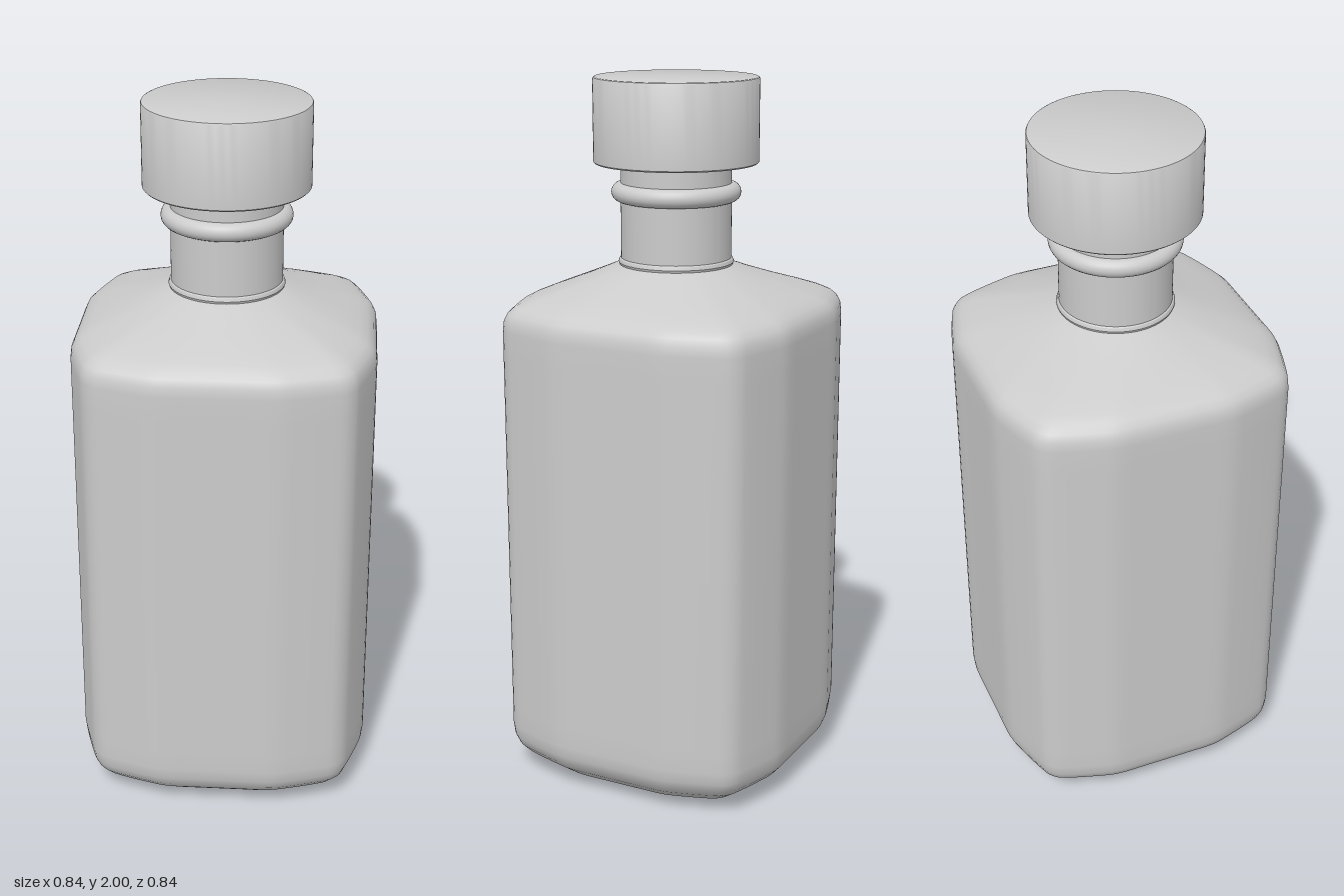
import * as THREE from 'three';
import { toCreasedNormals } from 'three/addons/utils/BufferGeometryUtils.js';

const material = new THREE.MeshStandardMaterial({ color: 0xcccccc });
const SEGMENTS = 160;

// Rounded-square outline with bowed, faceted sides: half of one side, mirrored and turned four times
function bodyOutline() {
  const half = [[0.42, 0], [0.42, 0.08], [0.42, 0.14], [0.417, 0.175], [0.408, 0.21], [0.39, 0.27], [0.371, 0.325], [0.363, 0.342]];
  const quarter = [...half, [0.353, 0.353], ...half.slice(1).reverse().map(([a, b]) => [b, a])];
  const points = [];
  for (let k = 0; k < 4; k++) {
    for (const [a, b] of quarter) {
      const [x, z] = [[a, b], [-b, a], [-a, -b], [b, -a]][k];
      points.push(new THREE.Vector3(x, 0, z));
    }
  }
  return new THREE.CatmullRomCurve3(points, true).getSpacedPoints(SEGMENTS).slice(0, SEGMENTS);
}

// Lofts the outline through rings of [half width, height, blend towards a circle]
function loftBody(rings) {
  const outline = bodyOutline();
  const positions = [];
  const indices = [];
  for (const [width, y, round] of rings) {
    for (const p of outline) {
      const s = THREE.MathUtils.lerp(width / 0.42, width / Math.hypot(p.x, p.z), round);
      positions.push(p.x * s, y, p.z * s);
    }
  }
  for (let i = 0; i < rings.length - 1; i++) {
    for (let j = 0; j < SEGMENTS; j++) {
      const a = i * SEGMENTS + j;
      const b = i * SEGMENTS + (j + 1) % SEGMENTS;
      indices.push(a, a + SEGMENTS, b, b, a + SEGMENTS, b + SEGMENTS);
    }
  }
  const geometry = new THREE.BufferGeometry();
  geometry.setAttribute('position', new THREE.Float32BufferAttribute(positions, 3));
  geometry.setIndex(indices);
  geometry.computeVertexNormals();
  return geometry;
}

function lathe(profile) {
  const points = profile.map(([r, y]) => new THREE.Vector2(r, y));
  return toCreasedNormals(new THREE.LatheGeometry(points, 96), 0.6);
}

export function createModel() {
  const group = new THREE.Group();
  const add = (name, geometry) => {
    const mesh = new THREE.Mesh(geometry, material);
    mesh.name = name;
    group.add(mesh);
    return mesh;
  };

  // Body: hollowed base, bevelled foot, straight walls, sloping shoulder
  add('body', loftBody([
    [0, 0.045, 1], [0.08, 0.042, 1], [0.16, 0.03, 0.8], [0.22, 0.012, 0.5], [0.26, 0.003, 0.3],
    [0.29, 0, 0.15], [0.315, 0.005, 0.08], [0.34, 0.02, 0], [0.385, 0.055, 0], [0.405, 0.078, 0],
    [0.416, 0.105, 0], [0.42, 0.14, 0], [0.42, 0.2, 0], [0.42, 0.7, 0], [0.42, 1.25, 0],
    [0.42, 1.32, 0], [0.417, 1.347, 0], [0.408, 1.367, 0], [0.393, 1.383, 0.03], [0.37, 1.397, 0.1],
    [0.33, 1.415, 0.25], [0.28, 1.435, 0.5], [0.22, 1.459, 0.8], [0.18, 1.476, 1], [0.155, 1.485, 1],
  ]));

  // Neck with a thin collar at its foot
  add('neck', lathe([
    [0.15, 1.478], [0.159, 1.482], [0.162, 1.49], [0.159, 1.499], [0.155, 1.502], [0.155, 1.77],
  ]));

  // Rounded bead around the neck
  const bead = add('neckBead', new THREE.TorusGeometry(0.155, 0.026, 20, 96));
  bead.rotation.x = Math.PI / 2;
  bead.position.y = 1.685;

  // Stopper cap
  add('cap', lathe([
    [0, 1.765], [0.226, 1.765], [0.23, 1.769], [0.23, 1.994], [0.228, 1.998], [0.224, 2], [0, 2],
  ]));

  return group;
}
